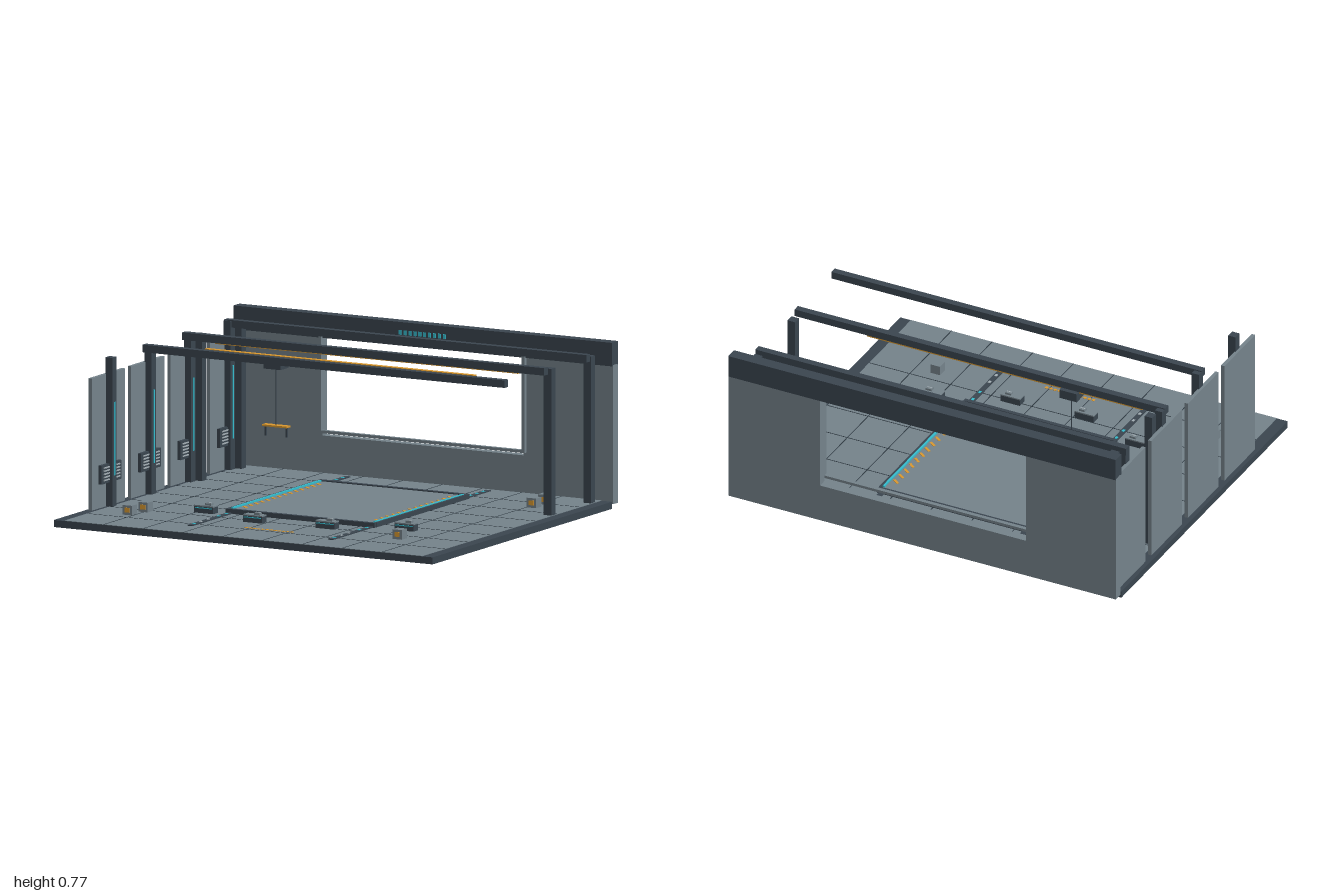
import * as THREE from 'three';

export function createModel() {
  const root = new THREE.Group();
  const mat = (name, color) => {
    const m = new THREE.MeshStandardMaterial({ color });
    m.name = name;
    return m;
  };
  const grey = mat('panel grey', 0x74828a);
  const dark = mat('dark steel', 0x3a454f);
  const seam = mat('seam charcoal', 0x2f3a42);
  const light = mat('light trim', 0xa3aeb4);
  const orange = mat('safety orange', 0xd9982f);
  const cyan = mat('cyan light', 0x35bccd);

  // Box given by its minimum and maximum on each axis
  const box = (name, m, x0, x1, y0, y1, z0, z1, parent = root) => {
    const mesh = new THREE.Mesh(new THREE.BoxGeometry(x1 - x0, y1 - y0, z1 - z0), m);
    mesh.position.set((x0 + x1) / 2, (y0 + y1) / 2, (z0 + z1) / 2);
    mesh.name = name;
    parent.add(mesh);
    return mesh;
  };
  const group = (name, x = 0, y = 0, z = 0) => {
    const g = new THREE.Group();
    g.name = name;
    g.position.set(x, y, z);
    root.add(g);
    return g;
  };

  // Floor slab, its tiled surface and the joints between tiles
  const top = 0.035;
  box('floorSlab', dark, -1, 1, 0, 0.033, -0.81, 0.868);
  box('floorSurface', grey, -0.945, 0.945, 0.033, top, -0.81, 0.867);
  const joints = group('floorJoints');
  for (let i = 0; i < 8; i++) {
    const x = -0.735 + i * 0.21, z = -0.815 + i * 0.21;
    box('jointAlong', seam, x - 0.002, x + 0.002, top, top + 0.001, -0.81, 0.867, joints);
    if (i) box('jointAcross', seam, -0.945, 0.945, top, top + 0.001, z - 0.002, z + 0.002, joints);
  }

  // Back wall around a wide opening
  box('backWallRight', grey, -1, -0.535, 0.02, 0.67, -0.865, -0.82);
  box('backWallLeft', grey, 0.528, 1, 0.02, 0.67, -0.865, -0.82);
  box('backWallSill', grey, -0.535, 0.528, 0.02, 0.207, -0.865, -0.82);
  box('backWallHeader', dark, -1, 1, 0.665, 0.775, -0.868, -0.81);

  // Thin frame in front of the opening
  const frame = group('openingFrame');
  for (const s of [-1, 1])
    box('frameSide', grey, s * 0.537 - 0.007, s * 0.537 + 0.007, 0.222, 0.694, -0.818, -0.798, frame);
  box('frameBottom', grey, -0.53, 0.53, 0.222, 0.235, -0.818, -0.798, frame);
  box('frameTop', light, -0.53, 0.53, 0.68, 0.694, -0.818, -0.798, frame);

  // Row of small lights on the header
  const headerLights = group('headerLights');
  for (let i = 0; i < 10; i++) {
    const x = -0.125 + i * 0.026;
    box('headerLight', cyan, x, x + 0.014, 0.716, 0.738, -0.81, -0.806, headerLights);
  }

  // Side bays: wall panel, post with light strip, louvred vent
  for (let i = 0; i < 4; i++) {
    const z = 0.425 - i * 0.369;
    const bay = group('sideBay', 0, 0, z);
    box('sidePanel', grey, -0.98, -0.962, top, 0.652, -0.155, 0.155, bay);
    box('sidePost', dark, -0.967, -0.93, top, 0.73, -0.02, 0.02, bay);
    box('postLight', cyan, -0.93, -0.926, 0.18, 0.522, -0.005, 0.005, bay);
    box('ventBody', dark, -0.962, -0.945, 0.148, 0.236, -0.092, 0.092, bay);
    for (let k = 0; k < 5; k++) {
      const y = 0.161 + k * 0.0145;
      box('ventSlat', light, -0.945, -0.941, y, y + 0.006, -0.075, 0.075, bay);
    }
  }

  // Overhead beams and the free-standing columns
  for (const z of [0.08, -0.29, -0.685])
    box('crossBeam', dark, -0.968, 0.945, 0.7, 0.735, z - 0.017, z + 0.017);
  for (const z of [-0.365, -0.735]) {
    for (const s of [-1, 1])
      box('column', dark, s * 0.922 - 0.02, s * 0.922 + 0.02, top, 0.72, z - 0.02, z + 0.02);
  }
  box('beamStripe', orange, -0.8, 0.8, 0.694, 0.7, -0.294, -0.286);

  // Hoist: rail, trolley, cable and lifting bar
  const hoist = group('hoist', -0.45, 0, -0.237);
  box('hoistRail', orange, -0.37, 1.05, 0.655, 0.679, -0.013, 0.013, hoist);
  box('trolley', dark, -0.045, 0.045, 0.619, 0.662, -0.037, 0.037, hoist);
  const cable = new THREE.Mesh(new THREE.CylinderGeometry(0.002, 0.002, 0.27, 8), dark);
  cable.position.y = 0.486;
  cable.name = 'cable';
  hoist.add(cable);
  box('liftingBar', orange, -0.065, 0.065, 0.346, 0.354, -0.018, 0.018, hoist);
  for (const s of [-1, 1])
    box('liftingClaw', dark, s * 0.055 - 0.004, s * 0.055 + 0.004, 0.3, 0.346, -0.005, 0.005, hoist);

  // Central platform with rim, edge lights and slanted markings
  const platform = group('platform');
  box('platformDeck', grey, -0.385, 0.385, top, 0.052, -0.53, 0.318, platform);
  box('platformBackRim', dark, -0.393, 0.393, top, 0.057, -0.552, -0.53, platform);
  box('platformFrontRim', dark, -0.393, 0.393, top, 0.057, 0.316, 0.336, platform);
  for (const s of [-1, 1]) {
    box('platformSideRim', dark, s * 0.388 - 0.006, s * 0.388 + 0.006, top, 0.057, -0.53, 0.316, platform);
    box('platformLight', cyan, s * 0.376 - 0.005, s * 0.376 + 0.005, 0.052, 0.06, -0.52, 0.305, platform);
    for (let i = 0; i < 14; i++) {
      const z = -0.452 + i * 0.0528, x = s * 0.347;
      const mark = box('slantedMark', orange, x - 0.019, x + 0.019, 0.052, 0.054, z - 0.006, z + 0.006, platform);
      mark.rotation.y = -0.65;
    }
  }

  // Floor tracks beyond both ends of the platform
  for (const s of [-1, 1]) {
    const track = group('floorTrack', s * 0.371);
    box('trackBed', dark, -0.013, 0.013, top, 0.04, -0.767, 0.707, track);
    for (const z of [-0.72, -0.66, -0.6, 0.37, 0.44, 0.54, 0.605, 0.67])
      box('trackLight', z > 0.5 && z < 0.65 ? light : cyan, -0.006, 0.006, 0.04, 0.042, z - 0.009, z + 0.009, track);
  }

  // Low consoles
  for (const [x, z] of [[-0.48, 0.365], [-0.163, 0.47], [0.205, 0.445], [0.547, 0.312]]) {
    const c = group('console', x, top, z);
    box('consoleBase', dark, -0.05, 0.05, 0, 0.03, -0.022, 0.022, c);
    box('consoleTop', grey, -0.05, 0.05, 0.03, 0.036, -0.022, 0.022, c);
    box('consoleBlock', grey, 0.002, 0.032, 0.036, 0.046, -0.012, 0.012, c);
    box('consoleSlot', light, 0.005, 0.029, 0.046, 0.048, -0.003, 0.003, c);
    box('consoleLight', cyan, -0.045, 0.045, 0.022, 0.026, 0.022, 0.025, c);
  }

  // Small crates with an orange front plate
  for (const [x, z] of [[-0.74, 0.47], [-0.765, 0.575], [0.63, 0.52], [0.76, -0.61], [0.76, -0.505]]) {
    const c = group('crate', x, top, z);
    box('crateBody', grey, -0.025, 0.025, 0, 0.045, -0.024, 0.024, c);
    box('cratePlate', orange, -0.013, 0.013, 0.012, 0.034, 0.024, 0.027, c);
  }

  // Dashed warning strip near the front
  const strip = group('warningStrip');
  for (let i = 0; i < 12; i++) {
    const x = -0.13 + i * 0.022;
    box('warningDash', orange, x, x + 0.014, top, top + 0.002, 0.615, 0.63, strip);
  }

  return root;
}
